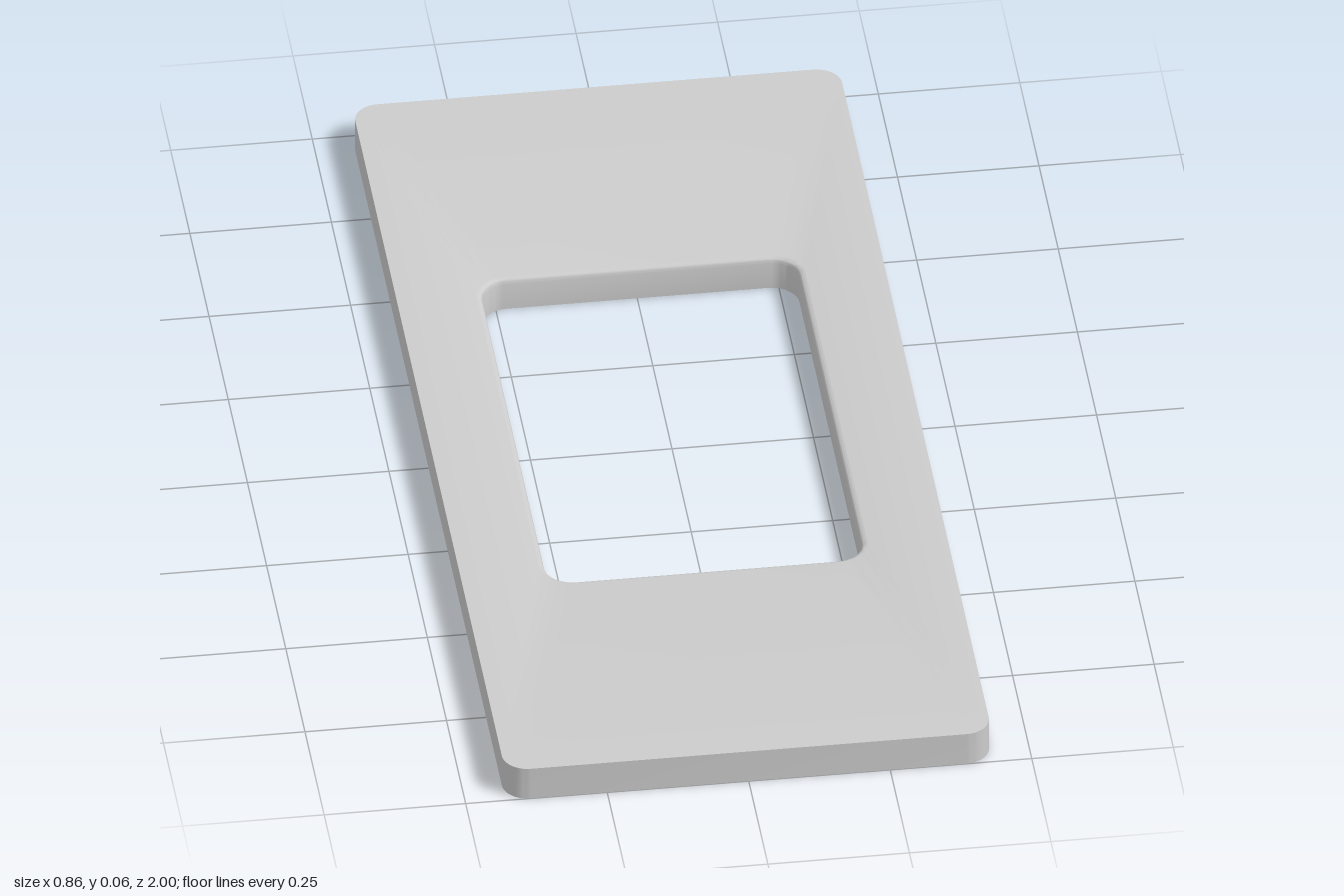
import * as THREE from 'three';
import { toCreasedNormals } from 'three/addons/utils/BufferGeometryUtils.js';

const HEIGHT = 0.064;
const CORNER_STEPS = 10;

// Closed rounded rectangle at height y; every loop has the same point count.
function roundedLoop(halfX, halfZ, radius, y) {
  const points = [];
  const signs = [[1, 1], [-1, 1], [-1, -1], [1, -1]];
  signs.forEach(([sx, sz], corner) => {
    for (let i = 0; i <= CORNER_STEPS; i++) {
      const a = (corner + i / CORNER_STEPS) * Math.PI / 2;
      points.push([
        sx * (halfX - radius) + radius * Math.cos(a), y,
        sz * (halfZ - radius) + radius * Math.sin(a),
      ]);
    }
  });
  return points;
}

// Joins successive loops with quads.
function skinLoops(loops) {
  const positions = [];
  for (let k = 0; k < loops.length - 1; k++) {
    const a = loops[k], b = loops[k + 1];
    for (let i = 0; i < a.length; i++) {
      const j = (i + 1) % a.length;
      positions.push(...a[i], ...b[i], ...a[j], ...b[i], ...b[j], ...a[j]);
    }
  }
  const geometry = new THREE.BufferGeometry();
  geometry.setAttribute('position', new THREE.Float32BufferAttribute(positions, 3));
  return toCreasedNormals(geometry, Math.PI / 6);
}

export function createModel() {
  const group = new THREE.Group();
  group.name = 'framePlate';

  const outer = (y) => roundedLoop(0.43, 1, 0.045, y);
  const opening = (grow, y) => roundedLoop(0.28 + grow, 0.453 + grow, 0.05 + grow, y);

  // Outer wall, top face, softened opening rim, opening wall, bottom face
  const loops = [outer(0), outer(HEIGHT)];
  const rim = 0.01;
  for (let i = 0; i <= 4; i++) {
    const a = i / 4 * Math.PI / 2;
    loops.push(opening(rim * (1 - Math.sin(a)), HEIGHT - rim * (1 - Math.cos(a))));
  }
  loops.push(opening(0, 0), outer(0));

  const plate = new THREE.Mesh(
    skinLoops(loops),
    new THREE.MeshStandardMaterial({ color: 0xcccccc }),
  );
  plate.name = 'plateWithOpening';
  group.add(plate);
  return group;
}
